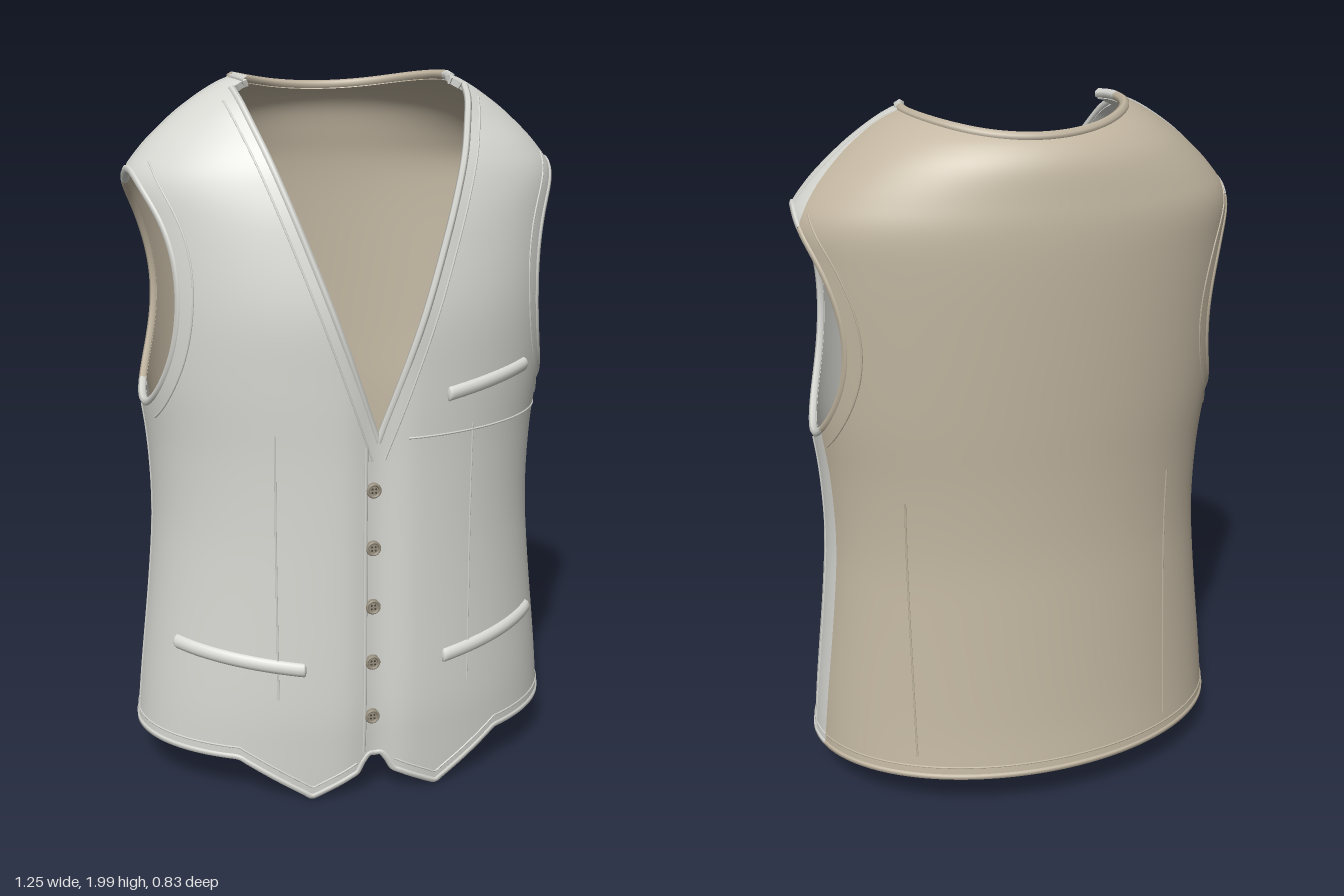
import * as THREE from 'three';

const mat = (name, color) => Object.assign(new THREE.MeshStandardMaterial({ color }), { name });
const V3 = (x, y, z) => new THREE.Vector3(x, y, z);

// Torso rings: height, half width, front depth, back depth
const ROWS = [
  [-0.03, 0.635, 0.385, 0.425], [0.14, 0.62, 0.4, 0.405], [0.3, 0.605, 0.41, 0.385], [0.6, 0.572, 0.41, 0.36],
  [0.8, 0.558, 0.41, 0.347], [1.0, 0.565, 0.412, 0.347], [1.2, 0.59, 0.418, 0.355], [1.4, 0.602, 0.418, 0.362],
  [1.6, 0.612, 0.385, 0.366], [1.72, 0.61, 0.35, 0.363], [1.8, 0.56, 0.318, 0.352], [1.88, 0.478, 0.27, 0.335],
  [1.93, 0.412, 0.25, 0.305], [1.965, 0.355, 0.23, 0.262], [1.985, 0.31, 0.2, 0.23], [1.995, 0.27, 0.18, 0.2],
];
const spline = (fn) => new THREE.CatmullRomCurve3(ROWS.map(fn), false, 'catmullrom', 0.5);
const sizes = spline((r) => V3(r[1], r[2], r[3]));
const heights = spline((r) => V3(r[0], 0, 0));

function bisect(lo, hi, below) {
  for (let i = 0; i < 30; i++) {
    const m = (lo + hi) / 2;
    if (below(m)) lo = m; else hi = m;
  }
  return (lo + hi) / 2;
}
const ringAt = (y) => sizes.getPoint(bisect(0, 1, (t) => heights.getPoint(t).x < y));
// Slight hollow where the front panels meet
const dip = (x) => 0.02 * Math.exp(-((x / 0.06) ** 2));

// Points on the torso, raised by d along the surface
function raise(x, y, z, r, d) {
  const depth = z > 0 ? r.y : r.z;
  const n = V3(x / r.x ** 2, 0, z / depth ** 2).normalize();
  return V3(x, y, z - (z > 0.15 ? dip(x) : 0)).addScaledVector(n, d);
}
function faceAt(x, y, d = 0, side = 1) {
  const r = ringAt(y), depth = side > 0 ? r.y : r.z;
  return raise(x, y, side * depth * Math.sqrt(Math.max(0, 1 - (x / r.x) ** 2)), r, d);
}
function flankAt(side, z, y, d = 0) {
  const r = ringAt(y), depth = z > 0 ? r.y : r.z;
  return raise(side * r.x * Math.sqrt(Math.max(0, 1 - (z / depth) ** 2)), y, z, r, d);
}

// Cutting lines: each is positive where cloth remains
const vEdge = (y) => 0.36 * (y - 1.05);
const HEM = [[0, 0.13], [0.032, 0.13], [0.042, 0.085], [0.178, 0.013], [0.38, 0.135], [1, 0.14]];
function hemY(x, z) {
  const a = Math.abs(x);
  if (z < 0) return 0.14;
  const i = HEM.findIndex((p) => p[0] > a), [p, q] = [HEM[i - 1], HEM[i]];
  return p[1] + (q[1] - p[1]) * (a - p[0]) / (q[0] - p[0]);
}
const armhole = ([, y, z]) => ((z - 0.02) / 0.21) ** 2 + ((y - 1.43) / 0.32) ** 2 - 1;
const neck = ([x, y, z]) => (z > 0.1 ? Math.abs(x) - vEdge(y) : 0.15 * ((x / 0.3) ** 2 + (z / 0.28) ** 2 - 1));
const hem = ([x, y, z]) => y - hemY(x, z);
const seam = ([, y, z]) => z + 0.08 - 0.07 * THREE.MathUtils.clamp((y - 1.75) / 0.2, 0, 1);

// Trims triangles against a cutting line
function clip(tris, f) {
  const out = [];
  for (const tri of tris) {
    const d = tri.map(f), poly = [];
    for (let i = 0; i < 3; i++) {
      const j = (i + 1) % 3;
      if (d[i] >= 0) poly.push(tri[i]);
      if ((d[i] >= 0) !== (d[j] >= 0)) {
        const [p, q] = d[i] >= 0 ? [i, j] : [j, i], t = d[p] / (d[p] - d[q]);
        poly.push(tri[p].map((v, k) => v + (tri[q][k] - v) * t));
      }
    }
    for (let i = 2; i < poly.length; i++) out.push([poly[0], poly[i - 1], poly[i]]);
  }
  return out;
}

// Full torso as triangles of [position, normal] corners
function torso(na, nt) {
  const pos = [], idx = [];
  for (let j = 0; j <= nt; j++) {
    const r = sizes.getPoint(j / nt), y = heights.getPoint(j / nt).x;
    for (let i = 0; i < na; i++) {
      const a = (i / na) * Math.PI * 2, x = r.x * Math.sin(a), c = Math.cos(a);
      pos.push(x, y, c > 0 ? r.y * c - (r.y * c > 0.15 ? dip(x) : 0) : r.z * c);
      if (j < nt) {
        const p = j * na + i, q = j * na + ((i + 1) % na);
        idx.push(p, q, q + na, p, q + na, p + na);
      }
    }
  }
  const g = new THREE.BufferGeometry();
  g.setAttribute('position', new THREE.Float32BufferAttribute(pos, 3));
  g.setIndex(idx);
  g.computeVertexNormals();
  const n = g.attributes.normal.array, tris = [];
  const corner = (k) => [0, 1, 2].map((c) => pos[k * 3 + c]).concat([0, 1, 2].map((c) => n[k * 3 + c]));
  for (let k = 0; k < idx.length; k += 3) tris.push([corner(idx[k]), corner(idx[k + 1]), corner(idx[k + 2])]);
  return tris;
}

// Gives a trimmed sheet an inner face and a closed rim
function thicken(tris, t) {
  const P = [], N = [], edges = new Map();
  const key = (v) => v.slice(0, 3).map((c) => Math.round(c * 1e5)).join();
  const inner = (v) => [0, 1, 2].map((c) => v[c] - v[c + 3] * t);
  for (const tri of tris) {
    const k = tri.map(key);
    if (k[0] === k[1] || k[1] === k[2] || k[2] === k[0]) continue;
    for (const v of tri) { P.push(v[0], v[1], v[2]); N.push(v[3], v[4], v[5]); }
    for (const v of [tri[0], tri[2], tri[1]]) { P.push(...inner(v)); N.push(-v[3], -v[4], -v[5]); }
    for (let i = 0; i < 3; i++) edges.set(k[i] + '|' + k[(i + 1) % 3], [tri[i], tri[(i + 1) % 3]]);
  }
  for (const [k, [a, b]] of edges) {
    if (edges.has(k.split('|').reverse().join('|'))) continue;
    const [A, B, C, D] = [a.slice(0, 3), b.slice(0, 3), inner(a), inner(b)];
    const n = V3(...A).sub(V3(...B)).cross(V3(...C).sub(V3(...B))).normalize();
    for (const v of [B, A, C, B, C, D]) { P.push(...v); N.push(n.x, n.y, n.z); }
  }
  const g = new THREE.BufferGeometry();
  g.setAttribute('position', new THREE.Float32BufferAttribute(P, 3));
  g.setAttribute('normal', new THREE.Float32BufferAttribute(N, 3));
  return g;
}

export function createModel() {
  const group = new THREE.Group();
  const light = mat('light grey cloth', 0xd8d8d3), beige = mat('beige lining', 0xc2b6a1);
  const horn = mat('button horn', 0x99907f), dark = mat('button holes', 0x4a453d);
  const add = (name, geo, m) => {
    const mesh = new THREE.Mesh(geo, m);
    mesh.name = name;
    group.add(mesh);
    return mesh;
  };
  // Cord along fn(u), u running from a to b
  const cord = (name, m, r, a, b, n, fn) => {
    const pts = Array.from({ length: n + 1 }, (_, i) => fn(a + ((b - a) * i) / n));
    add(name, new THREE.TubeGeometry(new THREE.CatmullRomCurve3(pts), n * 2, r, 6), m);
  };

  // Cloth panels
  const cloth = [armhole, neck, hem].reduce(clip, torso(192, 90));
  add('frontPanels', thicken(clip(cloth, seam), 0.018), light);
  add('backPanel', thicken(clip(cloth, (v) => -seam(v)), 0.018), beige);

  // Hem piping and stitching
  const hemPoint = (lift, d) => (a) => {
    const r = ringAt(0.14), c = Math.cos(a), x = r.x * Math.sin(a);
    const y = hemY(x, c) + lift, q = ringAt(y);
    return raise(q.x * Math.sin(a), y, (c > 0 ? q.y : q.z) * c, q, d);
  };
  const A = 1.77, TAU = Math.PI * 2;
  cord('frontHem', light, 0.012, -A, A, 120, hemPoint(0, -0.007));
  cord('backHem', beige, 0.012, A, TAU - A, 50, hemPoint(0, -0.007));
  cord('backHemStitch', beige, 0.003, A, TAU - A, 50, hemPoint(0.03, 0));

  for (const s of [-1, 1]) {
    cord('frontHemStitch', light, 0.003, s * 0.09, s * A, 50, hemPoint(0.03, 0));
    // Armhole piping and stitching
    const arm = (k, d) => (b) => flankAt(s, 0.02 + 0.21 * k * Math.cos(b), 1.43 + 0.32 * k * Math.sin(b), d);
    cord('armholeFront', light, 0.012, -2.07, 2.07, 40, arm(1, -0.007));
    cord('armholeBack', beige, 0.012, 2.07, TAU - 2.07, 24, arm(1, -0.007));
    cord('armholeFrontStitch', light, 0.003, -1.2, 1.2, 24, arm(1.16, 0));
    cord('armholeBackStitch', beige, 0.003, 2.07, TAU - 2.07, 24, arm(1.16, 0));
    // Neckline edge and stitching
    cord('neckline', light, 0.01, 1.05, 1.96, 30, (y) => faceAt(s * vEdge(y), y, -0.006));
    cord('necklineStitch', light, 0.003, 1.0, 1.93, 30, (y) => faceAt(s * (vEdge(y) + 0.035), y));
    // Side, shoulder and dart seams
    cord('sideSeam', light, 0.004, 0.14, 1.1, 16, (y) => flankAt(s, 0, y));
    cord('shoulderSeam', light, 0.004, 1.76, 1.985, 16, (y) => flankAt(s, 0, y));
    cord('frontDart', light, 0.003, 0.32, 1.08, 16, (y) => faceAt(s * 0.275, y));
    cord('backDart', beige, 0.003, 0.2, 0.98, 16, (y) => faceAt(s * 0.38, y, 0, -1));
  }
  cord('chestSeam', light, 0.003, 0.08, 0.56, 24, (x) => faceAt(x, 1.06));
  cord('placketEdge', light, 0.006, 0.14, 1.04, 20, (y) => faceAt(-0.036, y));

  // Collar band around the back of the neck
  const neckPoint = (a) => {
    const x = 0.3 * Math.sin(a), z = -0.28 * Math.cos(a);
    const y = bisect(1.8, 1.995, (h) => {
      const r = ringAt(h);
      return (x / r.x) ** 2 + (z / (z > 0 ? r.y : r.z)) ** 2 < 1;
    });
    return V3(x, y - 0.004, z);
  };
  cord('collarBand', beige, 0.014, -1.6, 1.6, 40, neckPoint);
  cord('collarEndLeft', light, 0.014, 1.6, 1.93, 8, neckPoint);
  cord('collarEndRight', light, 0.014, -1.93, -1.6, 8, neckPoint);

  // Pocket welts bent onto the cloth
  const welt = (name, x0, y0, x1, y1) => {
    const g = new THREE.CapsuleGeometry(0.02, 1, 4, 10, 24), p = g.attributes.position;
    for (let i = 0; i < p.count; i++) {
      const u = THREE.MathUtils.clamp(p.getY(i) / 1.04 + 0.5, 0, 1);
      const v = faceAt(x0 + (x1 - x0) * u, y0 + (y1 - y0) * u - p.getX(i), p.getZ(i) * 0.75);
      p.setXYZ(i, v.x, v.y, v.z);
    }
    g.computeVertexNormals();
    add(name, g, light);
  };
  welt('chestPocket', 0.19, 1.17, 0.46, 1.21);
  welt('leftPocket', 0.19, 0.41, 0.52, 0.45);
  welt('rightPocket', -0.53, 0.45, -0.2, 0.41);

  // Buttons with a raised rim and four holes
  for (const y of [0.255, 0.42, 0.585, 0.755, 0.92]) {
    const b = faceAt(-0.015, y, 0.006);
    add('button', new THREE.CylinderGeometry(0.02, 0.02, 0.014, 20).rotateX(Math.PI / 2), horn).position.copy(b);
    add('buttonRim', new THREE.TorusGeometry(0.017, 0.004, 6, 20), horn).position.set(b.x, b.y, b.z + 0.007);
    for (const [i, j] of [[1, 1], [1, -1], [-1, 1], [-1, -1]])
      add('buttonHole', new THREE.CircleGeometry(0.003, 8), dark).position.set(b.x + i * 0.005, b.y + j * 0.005, b.z + 0.008);
  }
  return group;
}
